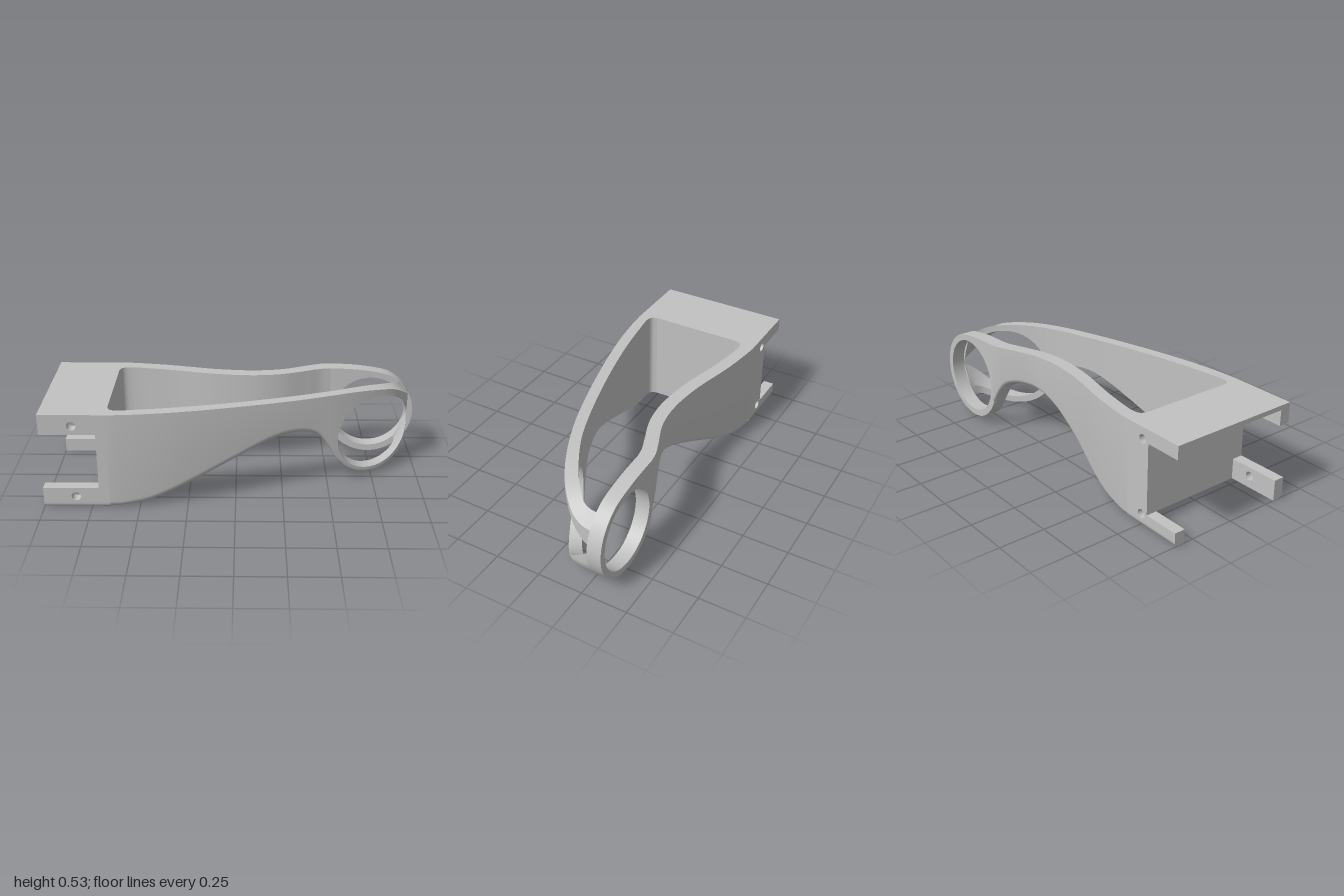
import * as THREE from 'three';
import { toCreasedNormals } from 'three/addons/utils/BufferGeometryUtils.js';

const grey = new THREE.MeshStandardMaterial({ color: 0xc2c2c2 });
grey.name = 'plain grey';

// smooth normals with sharp edges; enlarged meanwhile so that close vertices stay distinct
function crease(geometry) {
  geometry.scale(100, 100, 100);
  return toCreasedNormals(geometry, 0.5).scale(0.01, 0.01, 0.01);
}

// smooth height curve through points sorted by x
function heightCurve(p) {
  const slope = i => {
    const a = p[Math.max(i - 1, 0)], b = p[Math.min(i + 1, p.length - 1)];
    return (b[1] - a[1]) / (b[0] - a[0]);
  };
  return x => {
    let i = 0;
    while (i < p.length - 2 && x > p[i + 1][0]) i++;
    const h = p[i + 1][0] - p[i][0], t = (x - p[i][0]) / h, s = 1 - t;
    return p[i][1] * s * s * (1 + 2 * t) + p[i + 1][1] * t * t * (3 - 2 * t)
      + h * (slope(i) * t * s * s - slope(i + 1) * t * t * s);
  };
}

// side profile: arm heights that run into a round ring
const CX = 0.755, CY = 0.266, R = 0.245, HOLE = 0.209;
const half = (x, r) => Math.sqrt(Math.max(0, r * r - (x - CX) ** 2));
const lower = heightCurve([[-1, 0], [-0.66, 0], [-0.6, 0.002], [-0.47, 0.022], [-0.36, 0.06], [-0.2, 0.133],
  [0, 0.23], [0.14, 0.296], [0.24, 0.33], [0.33, 0.337], [0.39, 0.327], [0.44, 0.3], [0.48, 0.25],
  [0.51, 0.2], [0.54, 0.145], [0.57, 0.105], [0.65, 0.045]]);
const upper = heightCurve([[-1, 0.53], [0.3, 0.53], [0.5, 0.53], [0.65, 0.525], [0.76, 0.512], [0.85, 0.492], [0.9, 0.463]]);
const bottomAt = x => (x > 0.57 ? CY - half(x, R) : lower(x));
const topAt = x => (x > 0.85 ? CY + half(x, R) : upper(x));
const holeTop = x => CY + half(x, HOLE);
const holeBottom = x => CY - half(x, HOLE);

// closed cross-section between outer and inner plan points, with optional rounded outer bottom edge
function section(o, i, top, bottom, radius = 0) {
  const P = (p, y) => new THREE.Vector3(p.x, y, p.y);
  const list = [P(o, top(o.x)), P(i, top(i.x)), P(i, bottom(i.x))];
  if (!radius) return [...list, P(o, bottom(o.x))];
  const dist = o.distanceTo(i);
  const r = Math.min(radius, (top(o.x) - bottom(o.x)) * 0.6, dist * 0.6);
  for (let k = 0; k <= 6; k++) {
    const a = k / 6 * Math.PI / 2;
    const p = o.clone().lerp(i, r * (1 - Math.sin(a)) / dist);
    list.push(P(p, bottom(p.x) + r * (1 - Math.cos(a))));
  }
  return list;
}

// skin a row of cross-sections and close both ends
function loft(sections, flip) {
  const pos = [];
  const tri = (a, b, c) => (flip ? [a, c, b] : [a, b, c]).forEach(v => pos.push(v.x, v.y, v.z));
  const n = sections[0].length, last = sections[sections.length - 1];
  for (let s = 0; s < sections.length - 1; s++) {
    for (let i = 0; i < n; i++) {
      const j = (i + 1) % n, A = sections[s], B = sections[s + 1];
      tri(A[i], B[i], B[j]);
      tri(A[i], B[j], A[j]);
    }
  }
  for (let i = 1; i < n - 1; i++) {
    tri(sections[0][0], sections[0][i], sections[0][i + 1]);
    tri(last[0], last[i + 1], last[i]);
  }
  const g = new THREE.BufferGeometry();
  g.setAttribute('position', new THREE.Float32BufferAttribute(pos, 3));
  return crease(g);
}

// plan rows are [outer x, outer z, inner x, inner z]
function planStations(rows, from, to, easeStart) {
  const line = k => new THREE.CatmullRomCurve3(rows.map(r => new THREE.Vector3(r[k], r[k + 1], 0)));
  const outer = line(0), inner = line(2), steps = 14, out = [];
  for (let k = from; k < to; k++) {
    for (let j = k === from ? 0 : 1; j <= steps; j++) {
      let u = j / steps;
      if (easeStart && k === from) u *= u;
      const t = Math.min(1, (k + u) / (rows.length - 1));
      const o = outer.getPoint(t), i = inner.getPoint(t);
      out.push([new THREE.Vector2(o.x, o.y), new THREE.Vector2(i.x, i.y)]);
    }
  }
  return out;
}

export function createModel() {
  const group = new THREE.Group();
  const add = (name, geometry) => {
    const m = new THREE.Mesh(geometry, grey);
    m.name = name;
    group.add(m);
    return m;
  };
  const box = (name, x0, x1, y0, y1, z0, z1) =>
    add(name, new THREE.BoxGeometry(x1 - x0, y1 - y0, z1 - z0))
      .position.set((x0 + x1) / 2, (y0 + y1) / 2, (z0 + z1) / 2);

  // front wall sweeping back towards the ring
  const frontPlan = [
    [-0.655, 0.365, -0.655, 0.265], [-0.643, 0.365, -0.643, 0.293], [-0.615, 0.364, -0.615, 0.305],
    [-0.5, 0.354, -0.5, 0.293], [-0.3, 0.325, -0.3, 0.262], [0, 0.257, 0, 0.195], [0.33, 0.163, 0.33, 0.1],
    [0.546, 0.083, 0.546, 0.02], [0.755, -0.02, 0.72, -0.075], [0.87, -0.1, 0.82, -0.145],
    [0.938, -0.18, 0.885, -0.21], [0.958, -0.237, 0.9, -0.25], [0.964, -0.289, 0.904, -0.289]];
  const HOLE_START = 7, END = frontPlan.length - 1;
  add('frontWall', loft(planStations(frontPlan, 0, HOLE_START)
    .map(([o, i]) => section(o, i, topAt, bottomAt, 0.036))));

  // front wall splits above and below the round opening
  const split = planStations(frontPlan, HOLE_START, END, true);
  add('frontUpperStrip', loft(split.map(([o, i]) => section(o, i, topAt, holeTop))));
  add('frontLowerStrip', loft(split.map(([o, i]) => section(o, i, holeBottom, bottomAt, 0.036))));

  // waisted back wall
  const backPlan = [
    [-0.655, -0.363, -0.655, -0.245], [-0.643, -0.363, -0.643, -0.275], [-0.615, -0.362, -0.615, -0.288],
    [-0.4, -0.332, -0.4, -0.26], [-0.1, -0.268, -0.1, -0.195], [0.1, -0.252, 0.1, -0.179],
    [0.25, -0.272, 0.25, -0.198], [0.4, -0.33, 0.4, -0.252], [0.47, -0.356, 0.47, -0.278], [0.525, -0.365, 0.525, -0.288]];
  add('backWall', loft(planStations(backPlan, 0, backPlan.length - 1)
    .map(([o, i]) => section(o, i, topAt, bottomAt, 0.03)), true));

  // flat ring at the end of the back wall
  const ring = new THREE.Shape();
  ring.moveTo(0.525, topAt(0.525));
  for (let x = 0.55; x < 0.845; x += 0.025) ring.lineTo(x, topAt(x));
  ring.absarc(CX, CY, R, Math.atan2(half(0.85, R), 0.85 - CX), Math.atan2(-half(0.57, R), 0.57 - CX), true);
  ring.lineTo(0.55, bottomAt(0.55));
  ring.lineTo(0.525, bottomAt(0.525));
  ring.holes.push(new THREE.Path().absarc(CX, CY, HOLE, 0, Math.PI * 2, false));
  const ringGeo = new THREE.ExtrudeGeometry(ring, { depth: 0.077, bevelEnabled: false, curveSegments: 48 });
  ringGeo.translate(0, 0, -0.365);
  add('endRing', crease(ringGeo));

  // notched mounting sides with drilled arms; the lower edges are rounded
  const mounts = [
    { name: 'front', side: 1, notch: -0.71, low: 0.115, high: 0.42, holeX: -0.83 },
    { name: 'back', side: -1, notch: -0.8, low: 0.075, high: 0.458, holeX: -0.76 }];
  for (const { name, side, notch, low, high, holeX } of mounts) {
    const plate = new THREE.Shape([[-1, 0.04], [-0.655, 0.04], [-0.655, 0.53], [-1, 0.53], [-1, high],
      [notch, high], [notch, low], [-1, low]].map(p => new THREE.Vector2(...p)));
    for (const y of [0.066, 0.468]) {
      plate.holes.push(new THREE.Path().absarc(holeX, y, 0.024, 0, Math.PI * 2, true));
    }
    const g = new THREE.ExtrudeGeometry(plate, { depth: 0.06, bevelEnabled: false, curveSegments: 16 });
    g.translate(0, 0, side > 0 ? 0.305 : -0.363);
    add(name + 'MountSide', crease(g));
    const outerZ = side > 0 ? 0.365 : -0.363;
    const ends = [-1, -0.655].map(x => section(new THREE.Vector2(x, outerZ),
      new THREE.Vector2(x, outerZ - side * 0.06), () => 0.04, () => 0, 0.06));
    add(name + 'MountLowerEdge', loft(ends, side < 0));
  }

  // cross web and thin top plate joining the two sides
  box('crossWeb', -0.71, -0.655, 0, 0.53, -0.304, 0.306);
  box('topPlate', -1, -0.71, 0.505, 0.53, -0.304, 0.306);

  return group;
}
